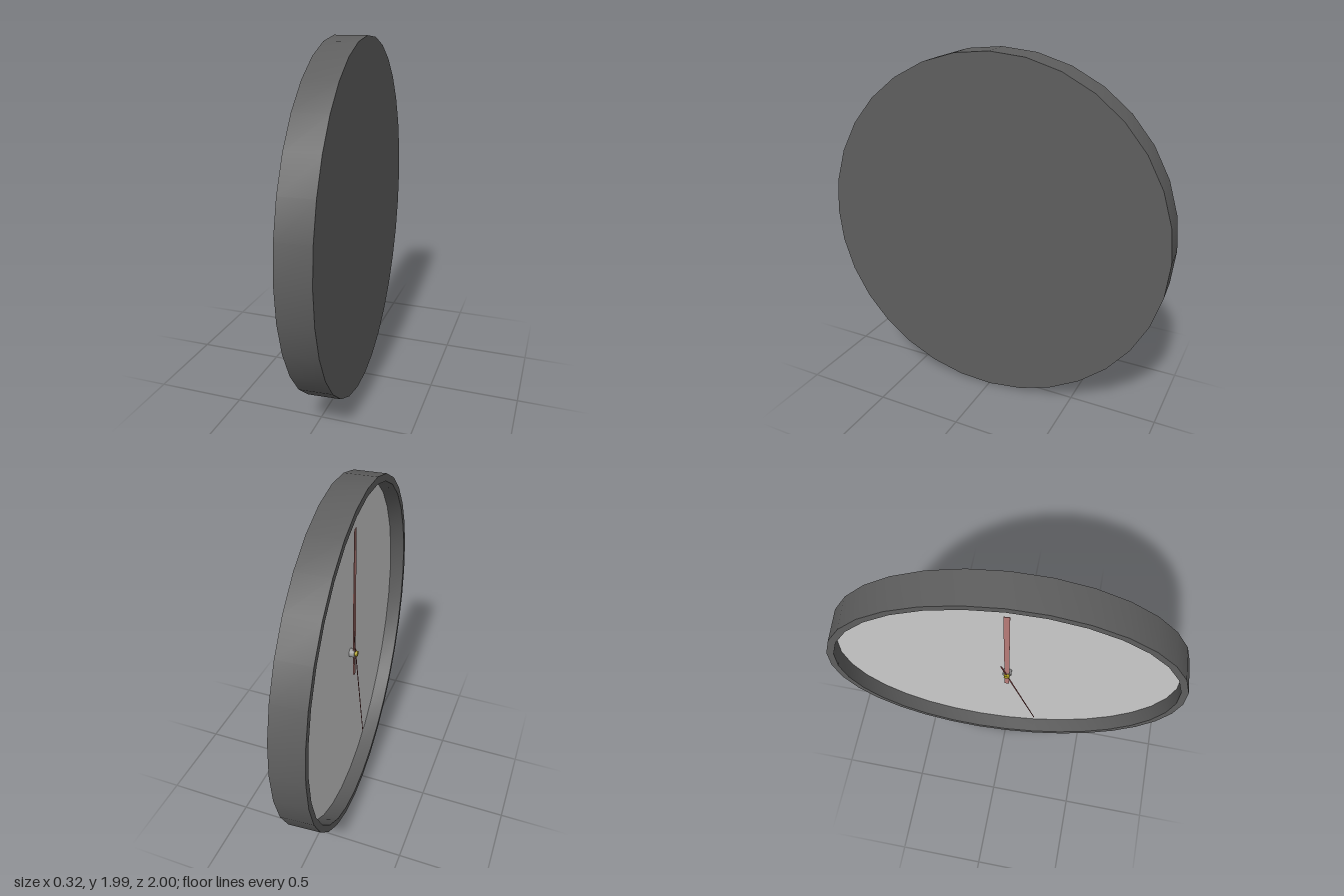
import * as THREE from 'three';
import { toCreasedNormals } from 'three/addons/utils/BufferGeometryUtils.js';

const R = 0.996, INNER = 0.957, HALF = 0.09, DIAL = 0.003, SIDES = 32;

function addMesh(parent, name, geometry, color = 0xcccccc) {
  const mesh = new THREE.Mesh(geometry, new THREE.MeshStandardMaterial({ color }));
  mesh.name = name;
  parent.add(mesh);
  return mesh;
}

// Disc or ring profile turned about the z axis
function turned(points) {
  const lathe = new THREE.LatheGeometry(points.map(([r, z]) => new THREE.Vector2(r, z)), SIDES);
  return toCreasedNormals(lathe.rotateX(Math.PI / 2), 0.6);
}

// Flat hand pivoting at the dial centre, with a short tail; angle is clockwise from twelve
function addHand(parent, name, { length, tail, base, tip, height, angle = 0, color }) {
  const shape = new THREE.Shape([
    new THREE.Vector2(-base / 2, -tail), new THREE.Vector2(base / 2, -tail),
    new THREE.Vector2(tip / 2, length), new THREE.Vector2(-tip / 2, length),
  ]);
  const geometry = new THREE.ExtrudeGeometry(shape, { depth: 0.003, bevelEnabled: false });
  const hand = addMesh(parent, name, geometry, color);
  hand.position.z = DIAL + height;
  hand.rotation.z = -angle;
}

export function createModel() {
  const model = new THREE.Group();
  model.name = 'wallClock';
  const clock = new THREE.Group();
  clock.name = 'clock';
  model.add(clock);

  // Shallow round case with closed back, narrow rim and inner wall
  const caseProfile = [[0, -HALF], [R, -HALF], [R, HALF], [INNER, HALF], [INNER, DIAL]];
  addMesh(clock, 'case', turned(caseProfile), 0x5e5e5e);

  // Recessed dial
  addMesh(clock, 'dial', turned([[INNER, DIAL], [0, DIAL]]));

  // Hands
  const brown = 0xb87c78;
  addHand(clock, 'hourHand', { length: 0.59, tail: 0.15, base: 0.024, tip: 0.024, height: 0.021, color: brown });
  addHand(clock, 'minuteHand', { length: 0.78, tail: 0.15, base: 0.026, tip: 0.032, height: 0.026, color: brown });
  addHand(clock, 'secondHand', {
    length: 0.8, tail: 0.14, base: 0.008, tip: 0.005, height: 0.032,
    angle: Math.PI - 0.23, color: 0x8a4646,
  });

  // Hub and centre pin
  const hub = addMesh(clock, 'hub', new THREE.CylinderGeometry(0.025, 0.025, 0.03, 16).rotateX(Math.PI / 2), 0x999999);
  hub.position.z = DIAL + 0.015;
  const pin = addMesh(clock, 'centrePin', new THREE.CylinderGeometry(0.016, 0.016, 0.046, 16).rotateX(Math.PI / 2), 0xb0a020);
  pin.position.z = DIAL + 0.023;

  // Dial turned towards -x, slightly off square
  clock.rotation.y = -(Math.PI / 2 - 0.073);
  clock.position.y = R;
  return model;
}
